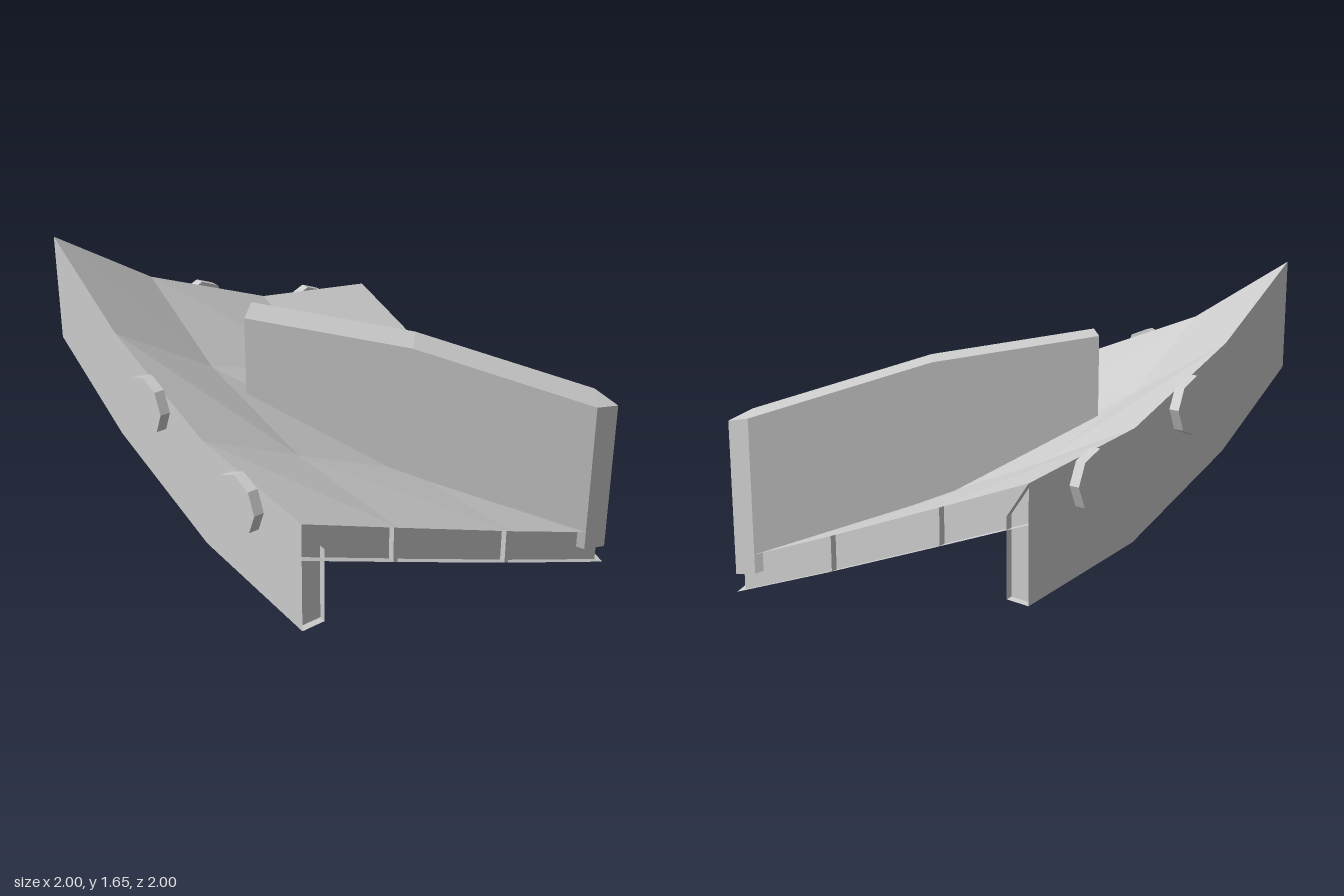
import * as THREE from 'three';

const material = new THREE.MeshStandardMaterial({ color: 0xcccccc, flatShading: true, side: THREE.DoubleSide });

// Sloped surface: heights on a 4 x 4 plan grid, symmetric about the diagonal
const GRID = [-0.95, -0.42, 0.29, 1];
const HEIGHT = [
  [1.66, 1.33, 1.05, 0.955],
  [1.33, 1.01, 0.8, 0.74],
  [1.05, 0.8, 0.485, 0.455],
  [0.955, 0.74, 0.455, 0.18],
];
const SLAB = 0.175;    // gap between upper and lower sheet
const INSET = 0.97;    // recessed side panels
const WALL = 0.525;    // depth of the rear walls

function cell(t) {
  const i = t < GRID[1] ? 0 : t < GRID[2] ? 1 : 2;
  return [i, (t - GRID[i]) / (GRID[i + 1] - GRID[i])];
}

// Height of the faceted surface at a plan position
function heightAt(x, z) {
  const [i, u] = cell(x), [j, v] = cell(z);
  const a = HEIGHT[i][j], c = HEIGHT[i + 1][j + 1];
  return v > u
    ? a * (1 - v) + HEIGHT[i][j + 1] * (v - u) + c * u
    : a * (1 - u) + HEIGHT[i + 1][j] * (u - v) + c * v;
}

function fromTriangles(points) {
  const g = new THREE.BufferGeometry();
  g.setAttribute('position', new THREE.Float32BufferAttribute(points.flat(), 3));
  g.computeVertexNormals();
  return g;
}

// Joins successive rings of corners, optionally closing the ends
function loft(rings, capped = true) {
  const tris = [], n = rings[0].length;
  for (let r = 0; r + 1 < rings.length; r++) {
    for (let k = 0; k < n; k++) {
      const m = (k + 1) % n, a = rings[r], b = rings[r + 1];
      tris.push(a[k], b[k], b[m], a[k], b[m], a[m]);
    }
  }
  if (capped) {
    const s = rings[0], e = rings[rings.length - 1];
    for (let k = 1; k + 1 < n; k++) tris.push(s[0], s[k], s[k + 1], e[0], e[k + 1], e[k]);
  }
  return fromTriangles(tris);
}

function sheet(drop) {
  const tris = [];
  const p = (i, j) => [GRID[i], HEIGHT[i][j] - drop, GRID[j]];
  for (let i = 0; i < 3; i++) {
    for (let j = 0; j < 3; j++) {
      tris.push(p(i, j), p(i, j + 1), p(i + 1, j + 1), p(i, j), p(i + 1, j + 1), p(i + 1, j));
    }
  }
  if (drop) tris.reverse();
  return fromTriangles(tris);
}

export function createModel() {
  const model = new THREE.Group();
  model.name = 'slopedPanel';
  const add = (name, geometry, parent = model) => {
    const mesh = new THREE.Mesh(geometry, material);
    mesh.name = name;
    parent.add(mesh);
    return mesh;
  };

  add('upperSheet', sheet(0));
  add('lowerSheet', sheet(SLAB));

  // Both halves are alike, with x and z exchanged
  for (const swapped of [false, true]) {
    const side = new THREE.Group();
    side.name = swapped ? 'rightHalf' : 'leftHalf';
    model.add(side);
    const P = (x, y, z) => (swapped ? [z, y, x] : [x, y, z]);
    const build = (rings, capped) => loft(swapped ? rings.map((r) => [...r].reverse()) : rings, capped);

    // Recessed panel between the sheets
    const panel = [-0.95, -0.42, 0.29, INSET].map((x) => {
      const y = heightAt(x, INSET);
      return [P(x, y, INSET), P(x, y - SLAB, INSET), P(x, y - SLAB, INSET - 0.01), P(x, y, INSET - 0.01)];
    });
    add('edgePanel', build(panel), side);

    // Short ribs standing in the recess
    for (const x of [GRID[1], GRID[2]]) {
      const rib = [x - 0.025, x].map((rx) => {
        const yi = heightAt(rx, INSET), yo = heightAt(rx, 1);
        return [P(rx, yo, 1), P(rx, yo - SLAB, 1), P(rx, yi - SLAB, INSET), P(rx, yi, INSET)];
      });
      add('edgeRib', build(rib), side);
    }

    // Rear wall following the sheet, open at its far end
    const outer = -0.95, inner = -0.83;
    const section = (z) => {
      const y = heightAt(outer, z);
      return [P(outer, y, z), P(outer, y - WALL, z), P(inner, y - WALL, z), P(inner, y - SLAB + 0.01, z)];
    };
    add('rearWall', build(GRID.map(section), false), side);
    add('wallEnd', build([section(INSET - 0.01), section(INSET)]), side);

    // Octagonal studs on the outside of the wall
    for (const z of [-0.11, 0.6]) {
      const stud = add('octagonalStud', new THREE.CylinderGeometry(0.14, 0.14, 0.05, 8), side);
      stud.position.set(...P(-0.975, heightAt(outer, z) - 0.12, z));
      if (swapped) stud.rotation.x = Math.PI / 2;
      else stud.rotation.z = Math.PI / 2;
    }
  }

  // Diagonal fin: [left x, left z, top, bottom], ending in the front corner
  const fin = [
    [-0.36, -0.21, 1.32, 0.84],
    [0.215, 0.365, 1.2, 0.42],
    [0.845, 1, 0.935, 0.14],
    [0.9995, 1, 0.9, 0.1],
  ].map(([x, z, top, bottom]) => [[x, top, z], [x, bottom, z], [z, bottom, x], [z, top, x]]);
  add('diagonalFin', loft(fin));

  return model;
}
